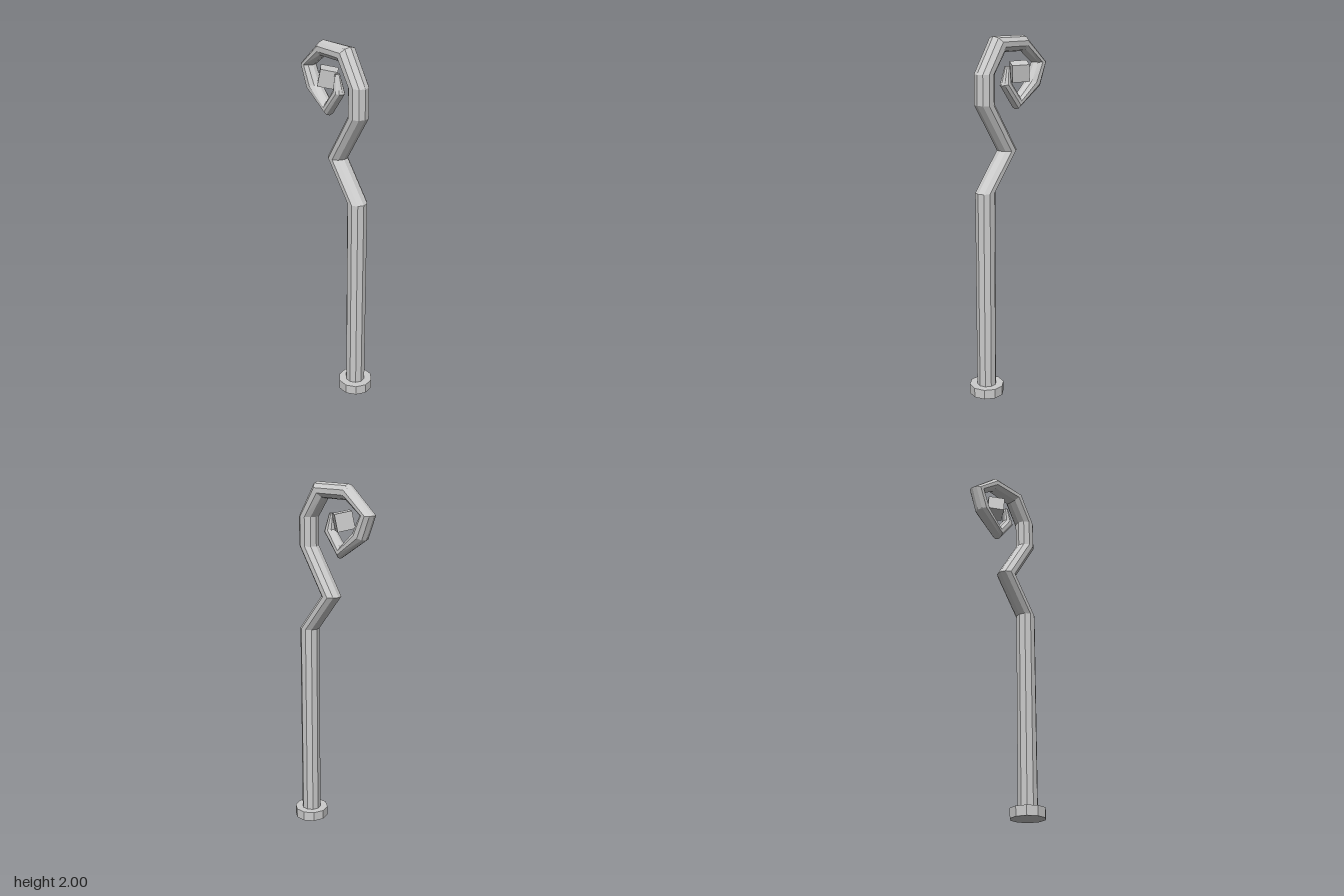
import * as THREE from 'three';

const SIDES = 10;
const material = new THREE.MeshStandardMaterial({ color: 0xcccccc, flatShading: true });

// Each ring: outer x, outer y, inner x, inner y, half depth
const RINGS = [
  [0.24, 0.03, 0.13, 0.03, 0.055],
  [0.24, 1.18, 0.13, 1.18, 0.055],
  [0.07, 1.39, -0.04, 1.39, 0.055],
  [0.24, 1.65, 0.13, 1.65, 0.055],
  [0.24, 1.81, 0.13, 1.81, 0.055],
  [0.118, 2.0, 0.053, 1.915, 0.055],
  [-0.11, 2.0, -0.108, 1.915, 0.045],
  [-0.285, 1.85, -0.203, 1.85, 0.044],
  [-0.235, 1.72, -0.153, 1.757, 0.044],
  [-0.055, 1.605, -0.07, 1.677, 0.038],
  [0.056, 1.74, -0.008, 1.757, 0.032],
  [0.024, 1.843, -0.006, 1.84, 0.015],
];

// Ten-sided tube lofted through the rings, closed at both ends
function loft(rings) {
  const positions = [];
  const index = [];
  for (const [ox, oy, ix, iy, depth] of rings) {
    for (let j = 0; j < SIDES; j++) {
      const a = (j / SIDES) * Math.PI * 2;
      const t = (1 - Math.cos(a)) / 2;
      positions.push(ox + (ix - ox) * t, oy + (iy - oy) * t, depth * Math.sin(a));
    }
  }
  for (let i = 0; i < rings.length - 1; i++) {
    for (let j = 0; j < SIDES; j++) {
      const k = (j + 1) % SIDES;
      const a = i * SIDES + j, b = i * SIDES + k;
      index.push(a, a + SIDES, b, b, a + SIDES, b + SIDES);
    }
  }
  const last = (rings.length - 1) * SIDES;
  for (let j = 1; j < SIDES - 1; j++) {
    index.push(0, j, j + 1, last, last + j + 1, last + j);
  }
  const geometry = new THREE.BufferGeometry();
  geometry.setAttribute('position', new THREE.Float32BufferAttribute(positions, 3));
  geometry.setIndex(index);
  const flat = geometry.toNonIndexed();
  flat.computeVertexNormals();
  return flat;
}

export function createModel() {
  const group = new THREE.Group();
  group.name = 'staff';

  // Shaft, kink and tapering spiral hook
  const shaft = new THREE.Mesh(loft(RINGS), material);
  shaft.name = 'shaftAndSpiral';

  // Foot disc, with a corner facing +x
  const foot = new THREE.Mesh(
    new THREE.CylinderGeometry(0.098, 0.098, 0.055, SIDES, 1, false, Math.PI / 2), material);
  foot.name = 'foot';
  foot.position.set(0.185, 0.0275, 0);

  // Tilted cube floating inside the spiral
  const gem = new THREE.Mesh(new THREE.BoxGeometry(0.094, 0.094, 0.094), material);
  gem.name = 'floatingCube';
  gem.position.set(-0.08, 1.808, -0.006);
  gem.rotation.set(-0.12, -0.65, -0.16, 'XZY');

  group.add(shaft, foot, gem);
  return group;
}
